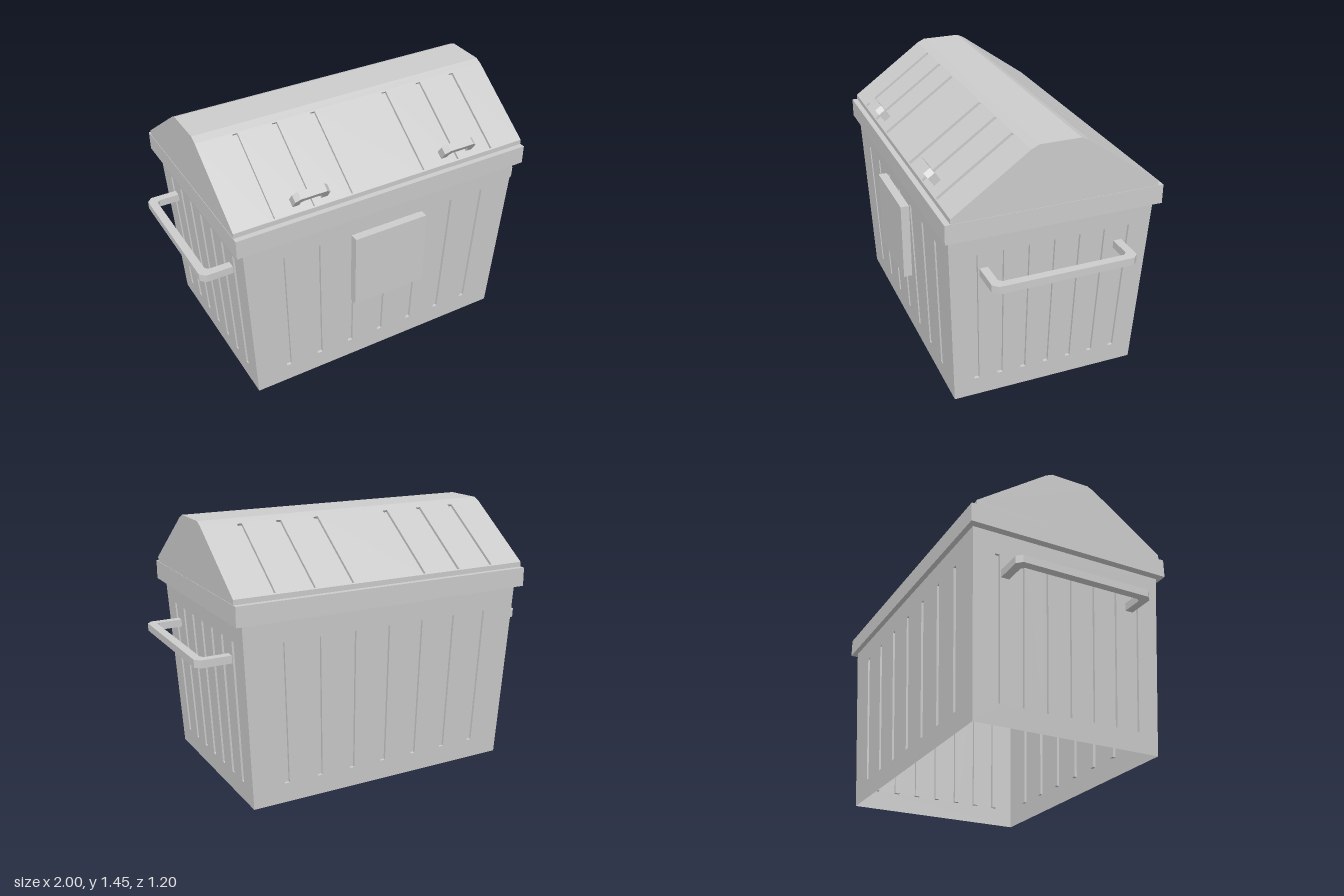
import * as THREE from 'three';
import { mergeGeometries } from 'three/addons/utils/BufferGeometryUtils.js';

const V = (x, y, z) => new THREE.Vector3(x, y, z);
const CX = -0.008, CZ = -0.01; // centre of the container
const GROOVE = 0.015, HALF_W = 0.014;

const solid = new THREE.MeshStandardMaterial({ color: 0xcccccc, flatShading: true });
const sheet = new THREE.MeshStandardMaterial({ color: 0xcccccc, flatShading: true, side: THREE.DoubleSide });

function mesh(name, geometry, material = solid) {
  const m = new THREE.Mesh(geometry, material);
  m.name = name;
  return m;
}

const shapeOf = pts => new THREE.Shape(pts.map(p => new THREE.Vector2(p[0], p[1])));

// Local frame: x along u, y along v, z along the outward normal
function frame(origin, u, v) {
  const n = new THREE.Vector3().crossVectors(u, v).normalize();
  return new THREE.Matrix4().makeBasis(u, v, n).setPosition(origin);
}

// Thin panel with pressed-in grooves; outline and grooves are corner lists in (u, v)
function panel(outline, grooves, matrix) {
  const shape = shapeOf(outline);
  const parts = [];
  for (const g of grooves) {
    shape.holes.push(shapeOf(g));
    parts.push(new THREE.ShapeGeometry(shapeOf(g)).translate(0, 0, -GROOVE));
    const wall = [];
    g.forEach((a, i) => {
      const b = g[(i + 1) % g.length];
      const A = [...a, 0], B = [...b, 0], C = [...b, -GROOVE], D = [...a, -GROOVE];
      wall.push(...A, ...B, ...C, ...A, ...C, ...D);
    });
    parts.push(new THREE.BufferGeometry().setAttribute('position', new THREE.Float32BufferAttribute(wall, 3)));
  }
  parts.push(new THREE.ShapeGeometry(shape));
  const flat = parts.map(p => {
    const q = p.index ? p.toNonIndexed() : p;
    q.deleteAttribute('uv');
    q.deleteAttribute('normal');
    return q;
  });
  const geo = mergeGeometries(flat).applyMatrix4(matrix);
  geo.computeVertexNormals();
  return geo;
}

// Chamfered U bracket: legs rise from y = 0, bar across the top
function bracket(half, height, thick, chamfer, depth) {
  const i = half - thick, c = chamfer * 0.6;
  const pts = [
    [half, 0], [half, height - chamfer], [half - chamfer, height],
    [-half + chamfer, height], [-half, height - chamfer], [-half, 0],
    [-i, 0], [-i, height - thick - c], [-i + c, height - thick],
    [i - c, height - thick], [i, height - thick - c], [i, 0],
  ];
  return new THREE.ExtrudeGeometry(shapeOf(pts), { depth, bevelEnabled: false }).translate(0, 0, -depth / 2);
}

export function createModel() {
  const root = new THREE.Group();
  root.name = 'wasteContainer';

  // Tapered body, open underneath, seven grooves per wall
  const bottom = { x: 0.773, z: 0.52 }, top = { x: 0.828, z: 0.557 }, H = 1.01;
  const body = new THREE.Group();
  body.name = 'body';
  const addWall = (name, along, out, u, dir) => {
    const lean = (top[out] - bottom[out]) / H;
    const grow = (top[along] - bottom[along]) / H;
    const step = along === 'x' ? 0.193 : 0.131;
    const at = (k, y) => k * step * (1 + grow * y / bottom[along]);
    const grooves = [];
    for (let k = -3; k <= 3; k++) {
      const lo = at(k, 0.11), hi = at(k, 0.89);
      grooves.push([[lo - HALF_W, 0.11], [lo + HALF_W, 0.11], [hi + HALF_W, 0.89], [hi - HALF_W, 0.89]]);
    }
    const b = bottom[along], t = top[along];
    const origin = dir.clone().multiplyScalar(bottom[out]).add(V(CX, 0, CZ));
    const up = dir.clone().multiplyScalar(lean).add(V(0, 1, 0));
    body.add(mesh(name, panel([[-b, 0], [b, 0], [t, H], [-t, H]], grooves, frame(origin, u, up)), sheet));
  };
  addWall('frontWall', 'x', 'z', V(1, 0, 0), V(0, 0, 1));
  addWall('backWall', 'x', 'z', V(-1, 0, 0), V(0, 0, -1));
  addWall('leftWall', 'z', 'x', V(0, 0, -1), V(1, 0, 0));
  addWall('rightWall', 'z', 'x', V(0, 0, 1), V(-1, 0, 0));
  root.add(body);

  // Rim frame around the top of the body
  const rect = (x, z) => [[-x, -z], [x, -z], [x, z], [-x, z]];
  const rimShape = shapeOf(rect(0.869, 0.585));
  rimShape.holes.push(shapeOf(rect(0.815, 0.53)));
  const rim = new THREE.ExtrudeGeometry(rimShape, { depth: 0.105, bevelEnabled: false });
  rim.rotateX(-Math.PI / 2).translate(CX, 1.008, CZ);
  root.add(mesh('rim', rim));

  // Pitched lid: one panel per segment of the (z, y) profile
  const lid = new THREE.Group();
  lid.name = 'lid';
  const profile = [[0.545, 1.11], [0.545, 1.14], [0.14, 1.428], [0.1, 1.447],
    [-0.12, 1.447], [-0.16, 1.428], [-0.565, 1.14], [-0.565, 1.11]];
  const W = 0.867;
  for (let i = 0; i < profile.length - 1; i++) {
    let [a, b] = [profile[i], profile[i + 1]];
    const back = i > 3;
    if (back) [a, b] = [b, a];
    const v = V(0, b[1] - a[1], b[0] - a[0]);
    const len = v.length();
    const grooves = len < 0.4 ? [] : [-0.655, -0.436, -0.217, 0.217, 0.436, 0.655].map(x =>
      [[x - HALF_W, 0.008], [x + HALF_W, 0.008], [x + HALF_W, len - 0.008], [x - HALF_W, len - 0.008]]);
    const m = frame(V(CX, a[1], a[0]), V(back ? -1 : 1, 0, 0), v.normalize());
    lid.add(mesh(len < 0.4 ? 'lidEdge' : 'lidSlope', panel([[-W, 0], [W, 0], [W, len], [-W, len]], grooves, m), sheet));
  }
  for (const s of [-1, 1]) {
    const gable = new THREE.ShapeGeometry(shapeOf(profile.map(([z, y]) => [-s * z, y])));
    gable.rotateY(s * Math.PI / 2).translate(CX + s * W, 0, 0);
    lid.add(mesh('lidGable', gable, sheet));
  }

  // Grips standing square to the front slope of the lid
  const slope = V(0, 0.58, -0.815).normalize();
  const normal = V(0, 0.815, 0.58).normalize();
  for (const s of [-1, 1]) {
    const grip = bracket(0.098, 0.084, 0.036, 0.025, 0.043);
    grip.applyMatrix4(frame(V(s * 0.443, 1.17, 0.495), V(-1, 0, 0), normal));
    lid.add(mesh('lidGrip', grip));
  }
  root.add(lid);

  // Side handles
  for (const s of [-1, 1]) {
    const handle = bracket(0.393, 0.198, 0.045, 0.028, 0.042);
    handle.applyMatrix4(frame(V(s * 0.802, 0.788, CZ), V(0, 0, -s), V(s, 0, 0)));
    root.add(mesh('sideHandle', handle));
  }

  // Blank plate on the front
  root.add(mesh('frontPlate', new THREE.BoxGeometry(0.435, 0.435, 0.047).translate(CX, 0.677, 0.577)));
  return root;
}
